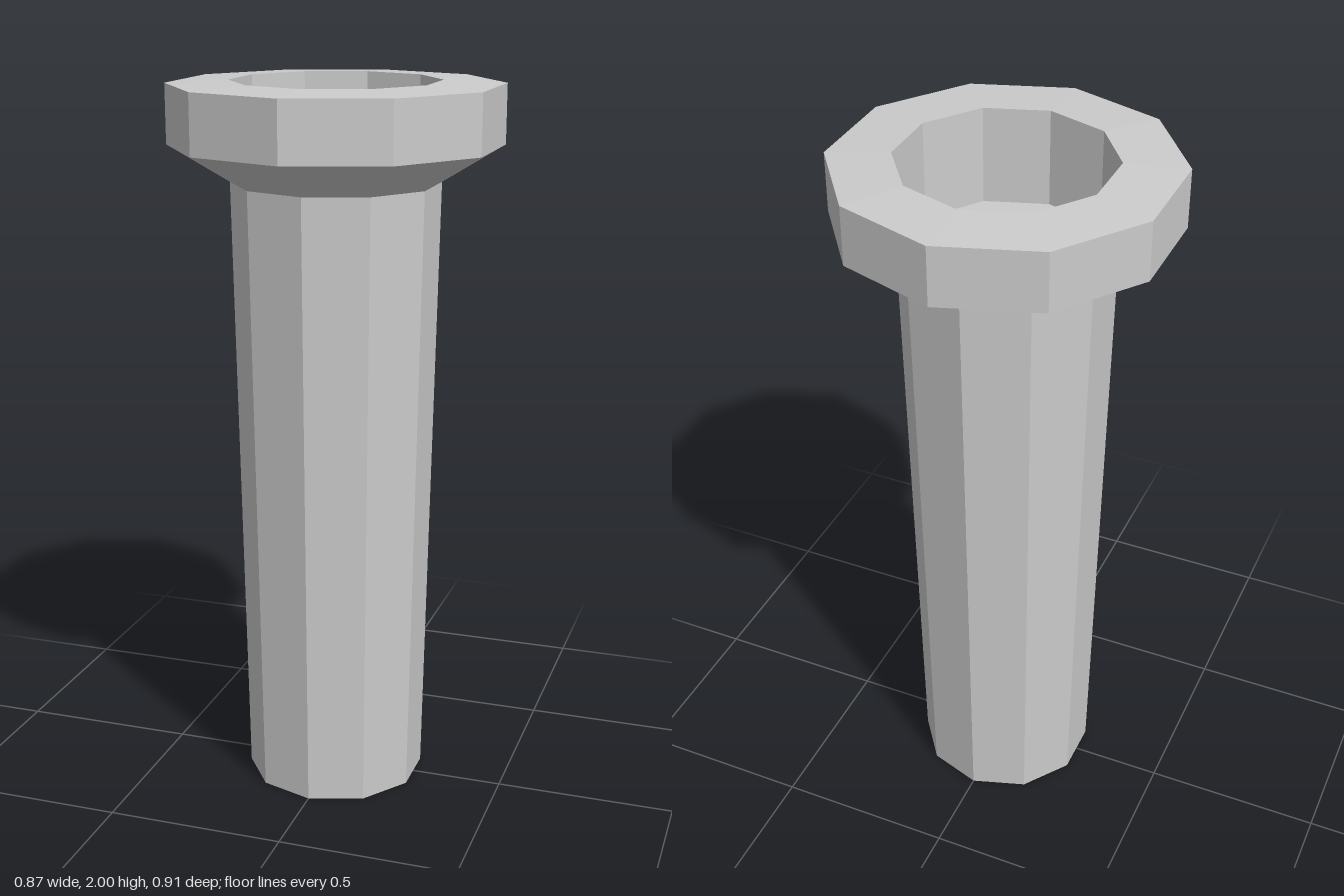
import * as THREE from 'three';

const SIDES = 10;

export function createModel() {
  const group = new THREE.Group();
  const material = new THREE.MeshStandardMaterial({
    color: 0xcccccc, flatShading: true, side: THREE.DoubleSide,
  });

  // Ten-sided turned part from [radius, height] pairs, a corner facing +z
  const turned = (name, profile) => {
    const points = profile.map(([r, y]) => new THREE.Vector2(r, y));
    const mesh = new THREE.Mesh(new THREE.LatheGeometry(points, SIDES), material);
    mesh.name = name;
    group.add(mesh);
  };

  // Tapered hollow shaft, open at the bottom
  turned('shaft', [[0.253, 0], [0.286, 1.73]]);

  // Flared head: underside, rim, slightly raised top ring
  turned('head', [[0.286, 1.73], [0.455, 1.83], [0.455, 1.992], [0.286, 2]]);

  // Recess in the head: straight wall and flat floor
  turned('recess', [[0.286, 2], [0.286, 1.73], [0, 1.73]]);

  return group;
}
